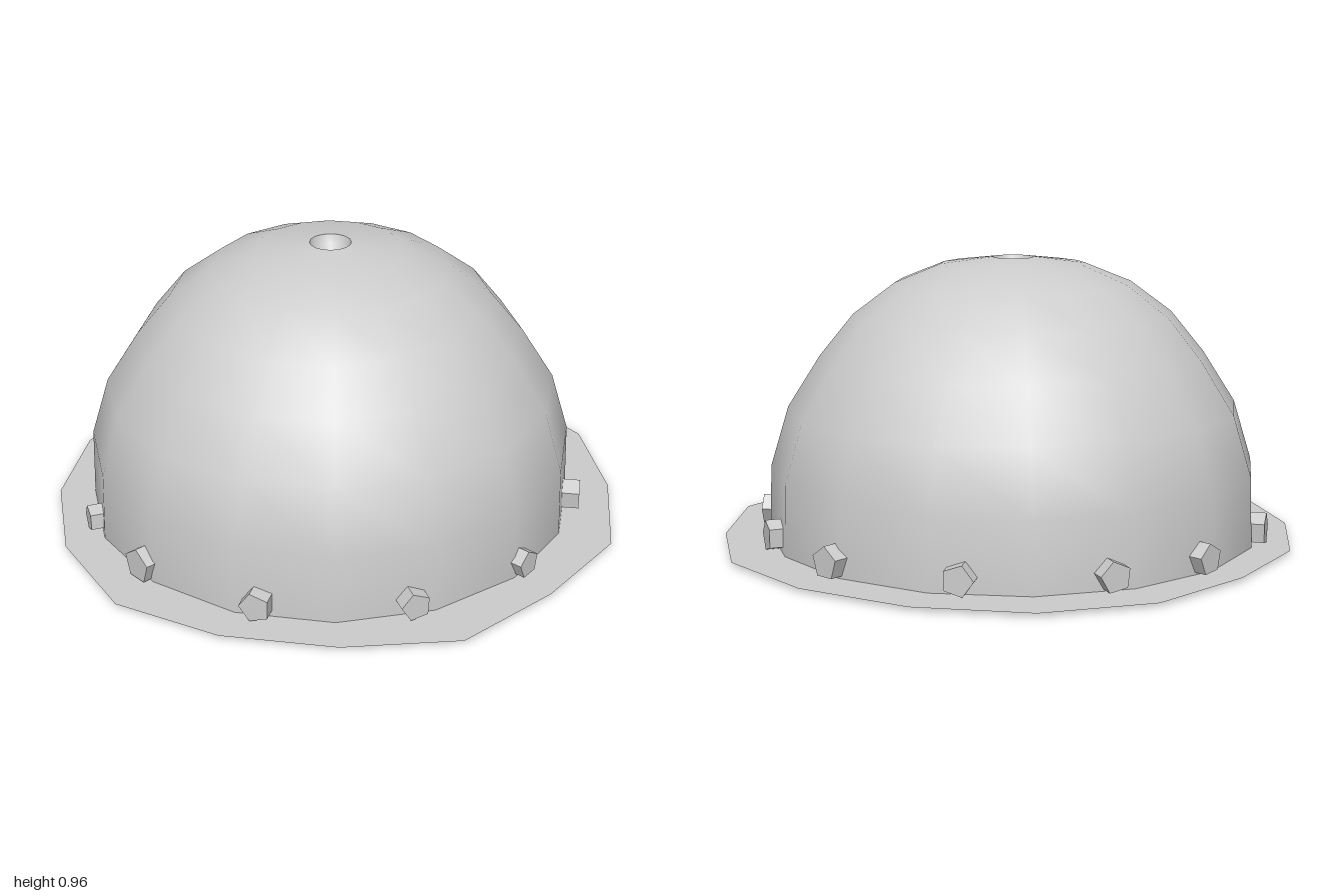
import * as THREE from 'three';

const SIDES = 16;
const CENTER_X = -0.012, CENTER_Z = -0.005;

export function createModel() {
  const group = new THREE.Group();
  const grey = new THREE.MeshStandardMaterial({ color: 0xcccccc });
  grey.name = 'light grey';
  grey.side = THREE.DoubleSide;
  const flatGrey = grey; // faceted parts carry their own split normals

  const add = (name, geometry, material = grey) => {
    const mesh = new THREE.Mesh(geometry, material);
    mesh.name = name;
    group.add(mesh);
    return mesh;
  };
  const lathe = (points) =>
    new THREE.LatheGeometry(points.map(([r, y]) => new THREE.Vector2(r, y)), SIDES);

  // Smooth dome, open at the crown
  const dome = add('dome', lathe([
    [0.837, 0], [0.83, 0.25], [0.768, 0.455], [0.657, 0.63],
    [0.543, 0.77], [0.402, 0.875], [0.248, 0.937], [0.07, 0.96],
  ]));
  dome.position.set(CENTER_X, 0, CENTER_Z);

  // Small concave dish in the crown
  const dish = add('crownDish', lathe([
    [0.07, 0.96], [0.06, 0.931], [0.042, 0.91], [0.022, 0.898], [0, 0.894],
  ]));
  dish.position.copy(dome.position);

  // Flat, slightly irregular brim, as [x, z] corners
  const outline = [
    [0, -1], [0.385, -0.94], [0.69, -0.705], [0.93, -0.395],
    [0.97, -0.01], [0.935, 0.38], [0.68, 0.675], [0.365, 0.89],
    [0, 1], [-0.385, 0.895], [-0.69, 0.675], [-0.905, 0.365],
    [-0.965, -0.01], [-0.93, -0.4], [-0.72, -0.72], [-0.39, -0.92],
  ];
  const brimShape = new THREE.Shape(outline.map(([x, z]) => new THREE.Vector2(x, -z)));
  const brim = add('brim', new THREE.ShapeGeometry(brimShape).rotateX(-Math.PI / 2));
  brim.position.y = 0.013;

  // Five-sided pegs around the foot: [x, z, radius, roll]
  const pegs = [
    [0.01, -0.85, 0.055, 0], [0.385, -0.745, 0.053, 0.3],
    [0.68, -0.49, 0.052, -0.2], [0.825, -0.035, 0.048, 0.1],
    [0.73, 0.39, 0.05, 0.25], [0.38, 0.735, 0.053, 0.3],
    [-0.058, 0.825, 0.06, 0], [-0.385, 0.75, 0.045, 0.4],
    [-0.77, 0.365, 0.055, -0.2], [-0.845, -0.055, 0.052, 0.1],
    [-0.75, -0.4, 0.052, 0.2], [-0.425, -0.735, 0.052, -0.3],
  ];
  pegs.forEach(([x, z, radius, roll], i) => {
    // Cylinder axis turned to point outward along local +z, one corner up
    let geometry = new THREE.CylinderGeometry(radius, radius, 0.065, 5)
      .rotateX(Math.PI / 2)
      .rotateZ(Math.PI + roll)
      .toNonIndexed();
    geometry.computeVertexNormals();
    const peg = add(`peg${i + 1}`, geometry, flatGrey);
    peg.position.set(x, 0.066, z);
    peg.rotation.y = Math.atan2(x - CENTER_X, z - CENTER_Z);
  });

  return group;
}
